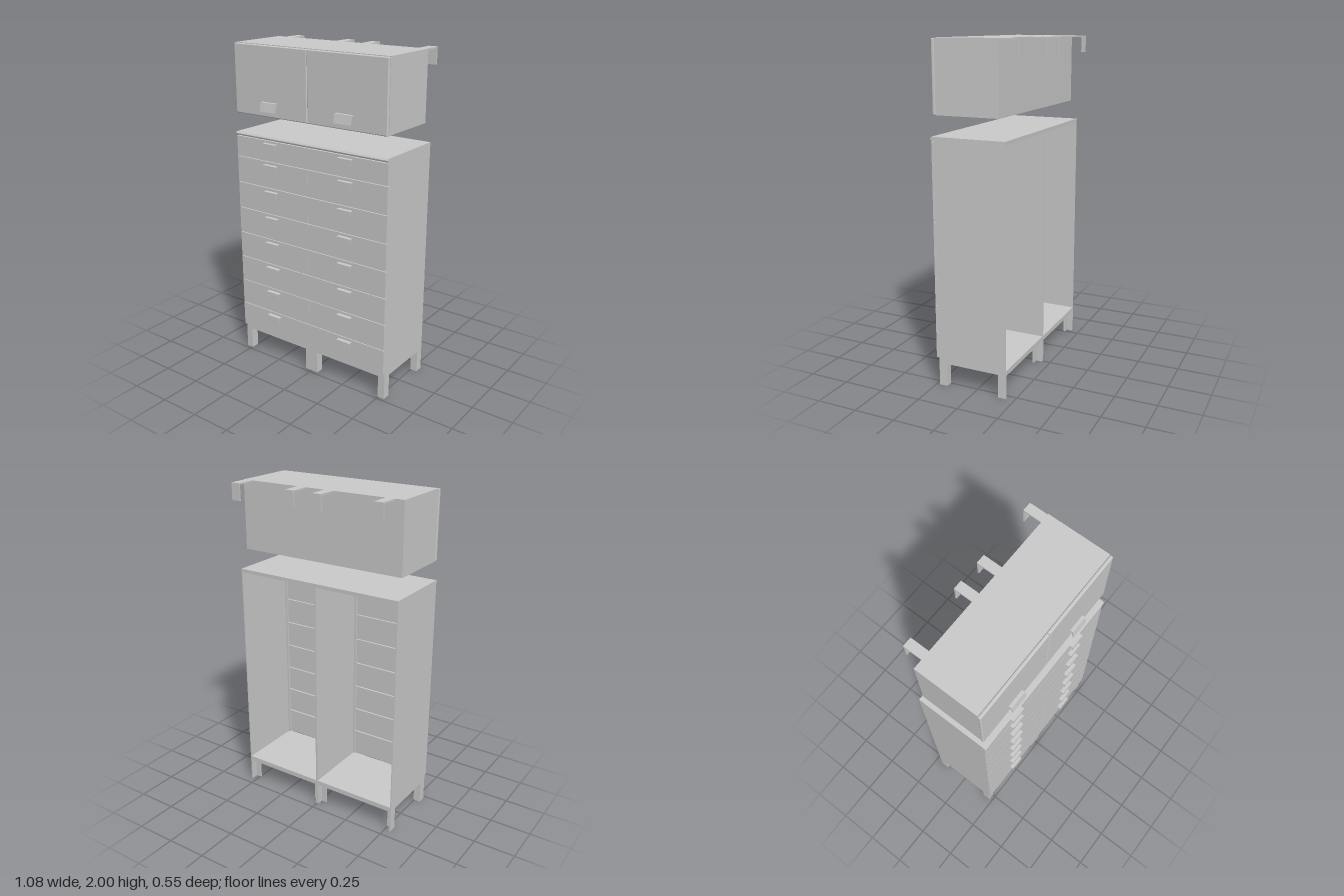
import * as THREE from 'three';
import { RoundedBoxGeometry } from 'three/addons/geometries/RoundedBoxGeometry.js';

const mat = new THREE.MeshStandardMaterial({ color: 0xcccccc });

function add(parent, name, geometry) {
  const mesh = new THREE.Mesh(geometry, mat);
  mesh.name = name;
  parent.add(mesh);
  return mesh;
}

// Box given by its limits on each axis
function box(parent, name, x0, x1, y0, y1, z0, z1) {
  const mesh = add(parent, name, new THREE.BoxGeometry(x1 - x0, y1 - y0, z1 - z0));
  mesh.position.set((x0 + x1) / 2, (y0 + y1) / 2, (z0 + z1) / 2);
  return mesh;
}

// Side profile of [z, y] points, extruded along x
function profile(parent, name, points, x0, x1) {
  const shape = new THREE.Shape(points.map(([z, y]) => new THREE.Vector2(-z, y)));
  const geometry = new THREE.ExtrudeGeometry(shape, { depth: x1 - x0, bevelEnabled: false });
  geometry.rotateY(Math.PI / 2);
  geometry.translate(x0, 0, 0);
  return add(parent, name, geometry);
}

const T = 0.006;      // panel thickness
const W = 0.54;       // half width
const BACK = -0.2;
const FRONT = 0.23;
const LEG = 0.045;

// One half of the chest: open-backed carcass, framed floor and four legs
function buildUnit(x0, x1, outer) {
  const unit = new THREE.Group();
  unit.name = 'chestUnit';
  for (const [a, b] of [[x0, x0 + T], [x1 - T, x1]]) {
    box(unit, 'sidePanel', a, b, 0.14, 1.45, BACK, FRONT);
  }
  box(unit, 'floorPanel', x0 + T, x1 - T, 0.158, 0.17, BACK, FRONT);

  // frame under the floor
  const f = 0.04;
  box(unit, 'floorFrame', x0 + T, x1 - T, 0.14, 0.158, FRONT - f, FRONT);
  box(unit, 'floorFrame', x0 + T, x1 - T, 0.14, 0.158, BACK, BACK + f);
  box(unit, 'floorFrame', x0 + T, x0 + f, 0.14, 0.158, BACK + f, FRONT - f);
  box(unit, 'floorFrame', x1 - f, x1 - T, 0.14, 0.158, BACK + f, FRONT - f);

  // front stiles and the rails behind the drawer joints
  box(unit, 'stile', x0 + T, x0 + 0.018, 0.17, 1.45, FRONT - 0.015, FRONT);
  box(unit, 'stile', x1 - 0.018, x1 - T, 0.17, 1.45, FRONT - 0.015, FRONT);
  for (let i = 1; i < 8; i++) {
    const y = 0.17 + i * 0.1643;
    box(unit, 'rail', x0 + 0.018, x1 - 0.018, y - 0.007, y + 0.007, FRONT - 0.012, FRONT);
  }

  // solid front legs, angle-section back legs
  for (const side of [-1, 1]) {
    const a = side < 0 ? x0 : x1 - LEG;
    box(unit, 'frontLeg', a, a + LEG, 0, 0.14, FRONT - 0.05, FRONT);
    const plate = side < 0 ? a : a + LEG - 0.01;
    box(unit, 'backLegSide', plate, plate + 0.01, 0, 0.14, BACK, BACK + 0.05);
    const p = side < 0 ? a + 0.01 : a;
    box(unit, 'backLegWeb', p, p + LEG - 0.01, 0, 0.14, BACK + 0.04, BACK + 0.05);
  }
  return unit;
}

function buildChest() {
  const chest = new THREE.Group();
  chest.name = 'drawerChest';
  chest.add(buildUnit(-W, 0), buildUnit(0, W));

  // top board with a softened front edge
  profile(chest, 'topBoard', [
    [BACK, 1.45], [0.243, 1.45], [0.252, 1.455], [0.254, 1.462], [0.248, 1.472], [BACK, 1.472],
  ], -W, W);

  // drawer fronts, separated by fine joints, with lipped pulls
  const joints = [0.17, 0.33, 0.495, 0.66, 0.825, 0.99, 1.155, 1.32, 1.448];
  for (let i = 0; i < 8; i++) {
    const y0 = joints[i] + 0.002, y1 = joints[i + 1] - 0.002;
    box(chest, 'drawerFront', -W, -0.0005, y0, y1, FRONT, 0.247);
    box(chest, 'drawerFront', 0.0005, W, y0, y1, FRONT, 0.247);
    const top = i === 7 ? 1.433 : joints[i + 1] - 0.018;
    for (const x of [-0.272, 0.268]) {
      profile(chest, 'drawerPull', [
        [0.245, top], [0.245, top - 0.005], [0.266, top - 0.005],
        [0.266, top - 0.032], [0.271, top - 0.032], [0.271, top],
      ], x - 0.047, x + 0.047);
    }
  }
  return chest;
}

function buildWallCabinet() {
  const cabinet = new THREE.Group();
  cabinet.name = 'upperCabinet';
  box(cabinet, 'cabinetBody', -0.535, 0.525, 1.588, 2, -0.158, 0.224);

  // pair of soft-edged doors
  for (const [x0, x1] of [[-0.538, -0.004], [-0.003, 0.527]]) {
    const door = add(cabinet, 'door', new RoundedBoxGeometry(x1 - x0, 0.41, 0.019, 3, 0.006));
    door.position.set((x0 + x1) / 2, 1.792, 0.2345);
  }

  // slanted door pulls
  for (const x of [-0.272, 0.256]) {
    profile(cabinet, 'doorPull', [
      [0.242, 1.675], [0.242, 1.668], [0.256, 1.668], [0.266, 1.622],
      [0.273, 1.622], [0.263, 1.675],
    ], x - 0.056, x + 0.056);
  }

  // hanging hooks behind the top
  for (const x of [-0.45, -0.068, 0.112, 0.492]) {
    profile(cabinet, 'hangingHook', [
      [-0.155, 2], [-0.155, 1.991], [-0.263, 1.991],
      [-0.263, 1.9], [-0.272, 1.9], [-0.272, 2],
    ], x - 0.028, x + 0.028);
  }
  return cabinet;
}

export function createModel() {
  const model = new THREE.Group();
  model.name = 'cabinetSet';
  model.add(buildChest(), buildWallCabinet());
  return model;
}
